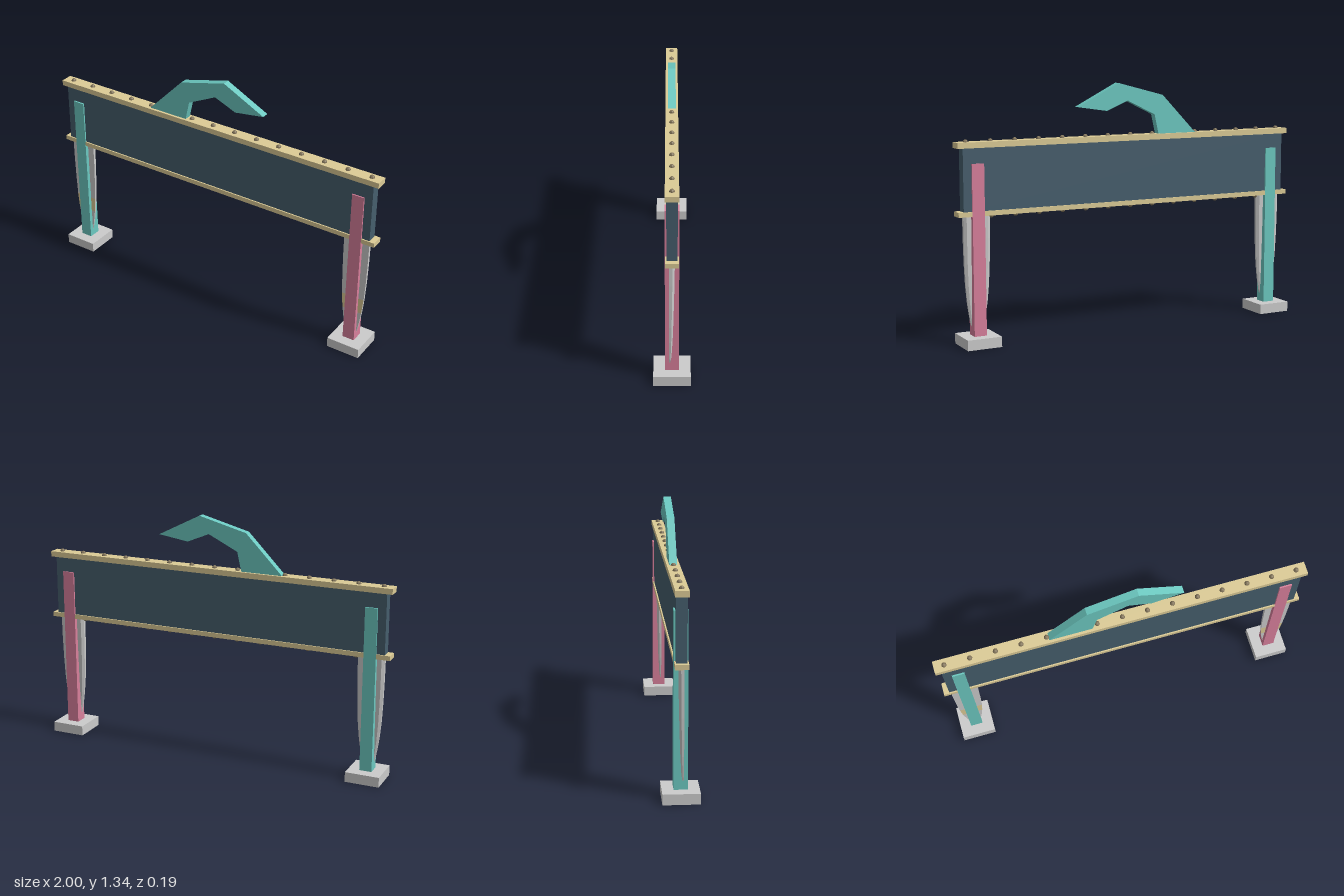
import * as THREE from 'three';

const mat = (color) => new THREE.MeshStandardMaterial({ color, flatShading: true });

export function createModel() {
  const root = new THREE.Group();
  const grey = mat(0xcccccc), teal = mat(0x6cc9c1), pink = mat(0xd9809c);
  const slate = mat(0x465e6d), sand = mat(0xdccb96), bronze = mat(0x85775c);

  const add = (name, geometry, material, x = 0, y = 0, z = 0, parent = root) => {
    const mesh = new THREE.Mesh(geometry, material);
    mesh.name = name;
    mesh.position.set(x, y, z);
    parent.add(mesh);
    return mesh;
  };
  const box = (name, w, y0, y1, d, material, x = 0, parent = root) =>
    add(name, new THREE.BoxGeometry(w, y1 - y0, d), material, x, (y0 + y1) / 2, 0, parent);

  // Long panel between two rails
  box('panel', 1.94, 0.70, 1.03, 0.054, slate);
  box('topRail', 2, 1.03, 1.06, 0.068, sand);
  box('bottomRail', 2, 0.68, 0.705, 0.068, sand);

  // Rivets along both rails
  const rivetGeometry = new THREE.SphereGeometry(0.014, 8, 6);
  for (let i = -7; i <= 7; i++) {
    add('topRivet', rivetGeometry, bronze, i * 0.135, 1.06);
    add('bottomRivet', rivetGeometry, bronze, i * 0.135, 0.678);
  }

  // Angular hook on the top rail
  const hook = new THREE.Shape([
    [-0.40, 1.055], [-0.165, 1.055], [-0.14, 1.165], [0.025, 1.245],
    [0.15, 1.193], [0.32, 1.218], [0.08, 1.34], [-0.19, 1.27],
  ].map(([x, y]) => new THREE.Vector2(x, y)));
  add('hook', new THREE.ExtrudeGeometry(hook, { depth: 0.04, bevelEnabled: false }), teal, 0, 0, -0.02);

  // Blade rows: height, half width, back z
  const rows = [
    [0.07, 0.026, 0.006], [0.12, 0.039, 0.003], [0.18, 0.049, 0], [0.23, 0.056, -0.003],
    [0.32, 0.064, -0.006], [0.43, 0.069, -0.009], [0.56, 0.072, -0.012], [0.70, 0.073, -0.014],
  ];
  const frontZ = 0.014;
  const bladeGeometry = bladeFromRows(rows, frontZ);
  const band = new THREE.Shape([
    [-0.056, 0.23], [0.056, 0.23], [0.064, 0.32], [-0.064, 0.32],
  ].map(([x, y]) => new THREE.Vector2(x, y)));

  // Post, foot and tapered blade at each end
  for (const [side, material] of [[-1, teal], [1, pink]]) {
    const leg = new THREE.Group();
    leg.name = side < 0 ? 'rightLeg' : 'leftLeg';
    leg.position.x = side * 0.892;
    root.add(leg);
    box('post', 0.067, 0, 0.95, 0.07, material, 0, leg);
    box('foot', 0.187, 0, 0.055, 0.187, grey, 0, leg);
    add('blade', bladeGeometry, grey, 0, 0, 0, leg);
    add('bladeBand', new THREE.ShapeGeometry(band), sand, 0, 0, frontZ + 0.001, leg);
  }
  return root;
}

// Flat-fronted blade with a bevelled back, lofted upwards through the rows
function bladeFromRows(rows, frontZ) {
  const positions = [], index = [], n = 6;
  for (const [y, w, back] of rows) {
    const mid = frontZ + (back - frontZ) * 0.6;
    positions.push(-w, y, frontZ, w, y, frontZ, w, y, mid,
      w * 0.8, y, back, -w * 0.8, y, back, -w, y, mid);
  }
  for (let r = 0; r < rows.length - 1; r++) {
    for (let i = 0; i < n; i++) {
      const a = r * n + i, b = r * n + (i + 1) % n;
      index.push(a, b, b + n, a, b + n, a + n);
    }
  }
  const top = (rows.length - 1) * n;
  for (let i = 1; i < n - 1; i++) {
    index.push(0, i + 1, i);
    index.push(top, top + i, top + i + 1);
  }
  const geometry = new THREE.BufferGeometry();
  geometry.setAttribute('position', new THREE.Float32BufferAttribute(positions, 3));
  geometry.setIndex(index);
  const flat = geometry.toNonIndexed();
  flat.computeVertexNormals();
  return flat;
}
